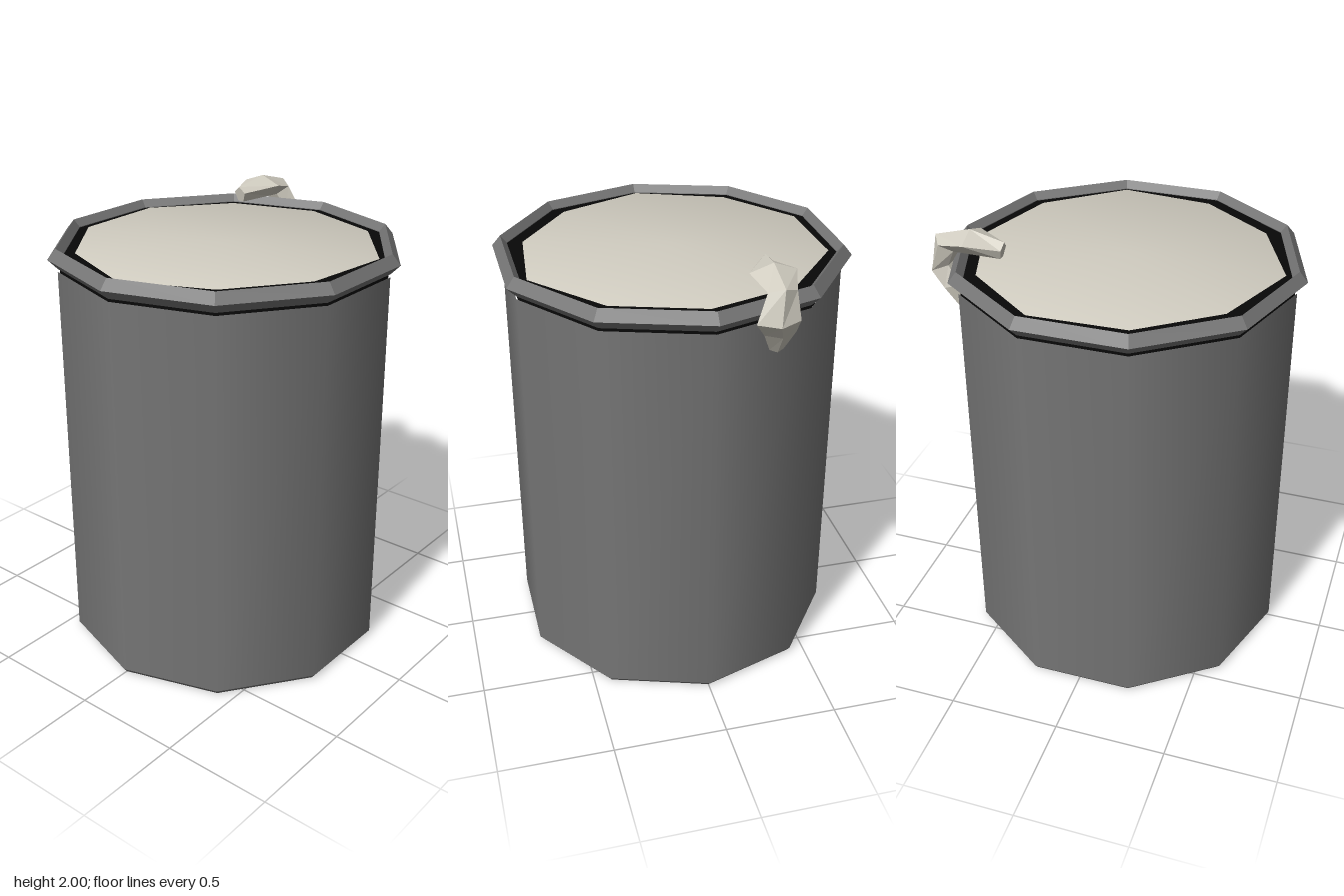
import * as THREE from 'three';

const SIDES = 10;
const CX = -0.012; // can axis

// Separate every face so each one gets its own normal
function faceted(geometry) {
  const g = geometry.index ? geometry.toNonIndexed() : geometry;
  g.computeVertexNormals();
  return g;
}

export function createModel() {
  const model = new THREE.Group();
  model.name = 'paintCan';

  const metal = new THREE.MeshStandardMaterial({ color: 0x757575 });
  metal.name = 'grey metal';
  const dark = new THREE.MeshStandardMaterial({ color: 0x080808 });
  dark.name = 'black gap';
  const paint = new THREE.MeshStandardMaterial({ color: 0xd0ccc0 });
  paint.name = 'off-white paint';

  function add(name, geometry, material, x = 0, y = 0) {
    const mesh = new THREE.Mesh(geometry, material);
    mesh.name = name;
    mesh.position.set(x, y, 0);
    model.add(mesh);
    return mesh;
  }
  const drum = (rTop, rBottom, h, open) =>
    new THREE.CylinderGeometry(rTop, rBottom, h, SIDES, 1, open, Math.PI / 2);

  // Body with a small bevel at the foot
  add('body', drum(0.734, 0.734, 1.765, true), metal, CX, 0.02 + 1.765 / 2);
  add('foot', drum(0.734, 0.718, 0.02, false), metal, CX, 0.01);

  // Dark seam under the rim and around the paint
  add('gap', drum(0.725, 0.725, 0.08, false), dark, CX, 1.81);

  // Rim: closed four-sided profile swept round the can
  const rimProfile = [[0.71, 1.845], [0.733, 1.797], [0.775, 1.84], [0.738, 1.885], [0.71, 1.853], [0.71, 1.845]]
    .map(([r, y]) => new THREE.Vector2(r, y));
  const rim = new THREE.LatheGeometry(rimProfile, SIDES, Math.PI / 2);
  add('rim', faceted(rim), metal, CX);

  // Paint surface: slightly uneven, softly domed fan
  const edge = [
    [0.645, 0], [0.52, -0.385], [0.2, -0.64], [-0.22, -0.63], [-0.54, -0.39],
    [-0.695, 0], [-0.53, 0.375], [-0.21, 0.61], [0.2, 0.65], [0.52, 0.385],
  ];
  const pos = [-0.02, 1.866, 0];
  const nor = [0, 1, 0];
  const idx = [];
  edge.forEach(([x, z], i) => {
    pos.push(x, 1.858, z);
    const n = new THREE.Vector3(x * 0.45, 1, z * 0.45).normalize();
    nor.push(n.x, n.y, n.z);
    idx.push(0, i + 1, ((i + 1) % edge.length) + 1);
  });
  const surface = new THREE.BufferGeometry();
  surface.setAttribute('position', new THREE.Float32BufferAttribute(pos, 3));
  surface.setAttribute('normal', new THREE.Float32BufferAttribute(nor, 3));
  surface.setIndex(idx);
  add('paintSurface', surface, paint);

  // Drip hooked over the rim: outer x, y, inner x, y, back z, front z
  const stations = [
    [0.43, 1.97, 0.445, 1.9, -0.31, -0.25],
    [0.59, 2.0, 0.58, 1.91, -0.36, -0.165],
    [0.75, 1.955, 0.66, 1.9, -0.32, -0.2],
    [0.785, 1.81, 0.69, 1.83, -0.33, -0.15],
    [0.73, 1.74, 0.64, 1.75, -0.33, -0.2],
    [0.66, 1.645, 0.625, 1.665, -0.3, -0.24],
  ];
  // Section corners: depth from outer to inner, and place across the width
  const section = [[0, 0.5], [0.4, 0], [1, 0.25], [1, 0.75], [0.4, 1]];
  const n = section.length;
  const dripPos = [];
  const dripIdx = [];
  stations.forEach(([ox, oy, ix, iy, z0, z1], s) => {
    section.forEach(([d, w], k) => {
      dripPos.push(ox + (ix - ox) * d, oy + (iy - oy) * d, z0 + (z1 - z0) * w);
      if (s === stations.length - 1) return;
      const a = s * n + k;
      const b = s * n + ((k + 1) % n);
      dripIdx.push(a, a + n, b, b, a + n, b + n);
    });
  });
  const last = (stations.length - 1) * n;
  for (let k = 1; k < n - 1; k++) {
    dripIdx.push(0, k, k + 1);
    dripIdx.push(last, last + k + 1, last + k);
  }
  const drip = new THREE.BufferGeometry();
  drip.setAttribute('position', new THREE.Float32BufferAttribute(dripPos, 3));
  drip.setIndex(dripIdx);
  add('drip', faceted(drip), paint);

  return model;
}
